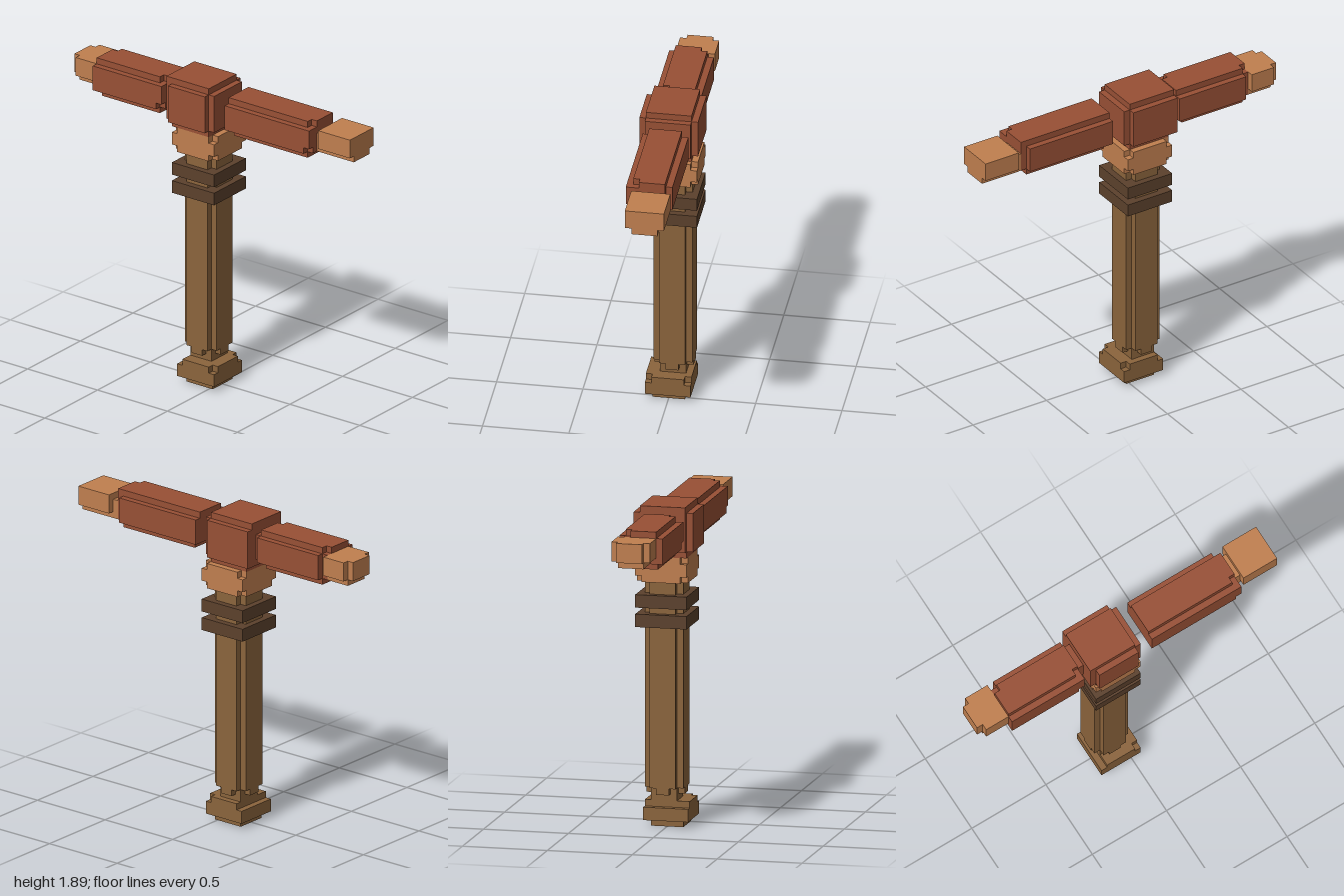
import * as THREE from 'three';
import { mergeGeometries } from 'three/addons/utils/BufferGeometryUtils.js';

// Block grid: 53 cells wide, 50 high, 9 deep
const CELL = 2 / 53;

// Box between grid planes: x0, x1, y0, y1, z0, z1
function block([x0, x1, y0, y1, z0, z1]) {
  const g = new THREE.BoxGeometry((x1 - x0) * CELL, (y1 - y0) * CELL, (z1 - z0) * CELL);
  g.translate(((x0 + x1) / 2 - 26.5) * CELL, ((y0 + y1) / 2) * CELL, ((z0 + z1) / 2 - 4.5) * CELL);
  return g;
}

export function createModel() {
  const model = new THREE.Group();
  model.name = 'blockHammer';
  const material = (name, color) => {
    const m = new THREE.MeshStandardMaterial({ color });
    m.name = name;
    return m;
  };
  const copper = material('copper', 0xc07f4f);
  const rust = material('rust', 0x985035);
  const wood = material('wood', 0x8b643c);
  const darkWood = material('darkWood', 0x5c412c);

  const part = (name, mat, ...boxes) => {
    const mesh = new THREE.Mesh(mergeGeometries(boxes.map(block)), mat);
    mesh.name = name;
    model.add(mesh);
  };

  // Pommel with a short neck
  part('pommel', wood,
    [22, 27, 0, 1, 2, 7],
    [21, 28, 1, 3, 1, 8],
    [22, 27, 3, 4, 1, 8],
    [22, 28, 3, 4, 2, 7],
    [22, 26, 4, 5, 2, 6]);

  // Shaft with notched edges and a tapered lowest row
  part('shaft', wood,
    [21, 27, 6, 38, 2, 6],
    [22, 26, 6, 38, 1, 7],
    [21, 27, 5, 6, 3, 5],
    [23, 25, 5, 6, 1, 7],
    [22, 26, 5, 6, 2, 6]);

  // Two square grip rings
  [31, 34].forEach((y, i) => part('gripRing' + (i + 1), darkWood, [20, 28, y, y + 2, 0, 8]));

  // Collar with its eight corners cut away
  part('collar', copper,
    [20, 28, 39, 41, 0, 8],
    [20, 28, 38, 42, 1, 7],
    [21, 27, 38, 42, 0, 8]);

  // Central head block
  part('headBlock', rust,
    [19, 27, 43, 50, 1, 8],
    [19, 28, 43, 49, 1, 8],
    [20, 27, 43, 49, 8, 9],
    [19, 27, 43, 49, 0, 1],
    [20, 27, 42, 43, 1, 8]);

  // Arm on the model's left, standing free of the head
  part('leftArm', rust,
    [30, 46, 44, 48, 2, 7],
    [30, 45, 44, 48, 1, 2],
    [30, 46, 45, 48, 7, 8],
    [30, 45, 44, 45, 7, 8],
    [30, 45, 48, 49, 2, 7],
    [45, 46, 48, 49, 2, 6],
    [31, 45, 43, 44, 2, 7]);
  part('leftTip', copper,
    [46, 47, 44, 47, 2, 6],
    [47, 53, 45, 48, 1, 7],
    [47, 53, 44, 45, 2, 6]);

  // Arm on the model's right, joined to the head
  part('rightArm', rust,
    [5, 18, 44, 48, 2, 7],
    [6, 18, 44, 48, 1, 2],
    [5, 18, 45, 48, 7, 8],
    [5, 17, 44, 45, 7, 8],
    [6, 17, 48, 49, 2, 7],
    [5, 6, 48, 49, 3, 7],
    [17, 18, 48, 49, 2, 6],
    [6, 17, 43, 44, 2, 7],
    [18, 19, 44, 48, 2, 6]);
  part('rightTip', copper,
    [1, 5, 45, 48, 1, 7],
    [1, 5, 44, 45, 2, 6],
    [0, 1, 45, 48, 2, 6]);

  return model;
}
